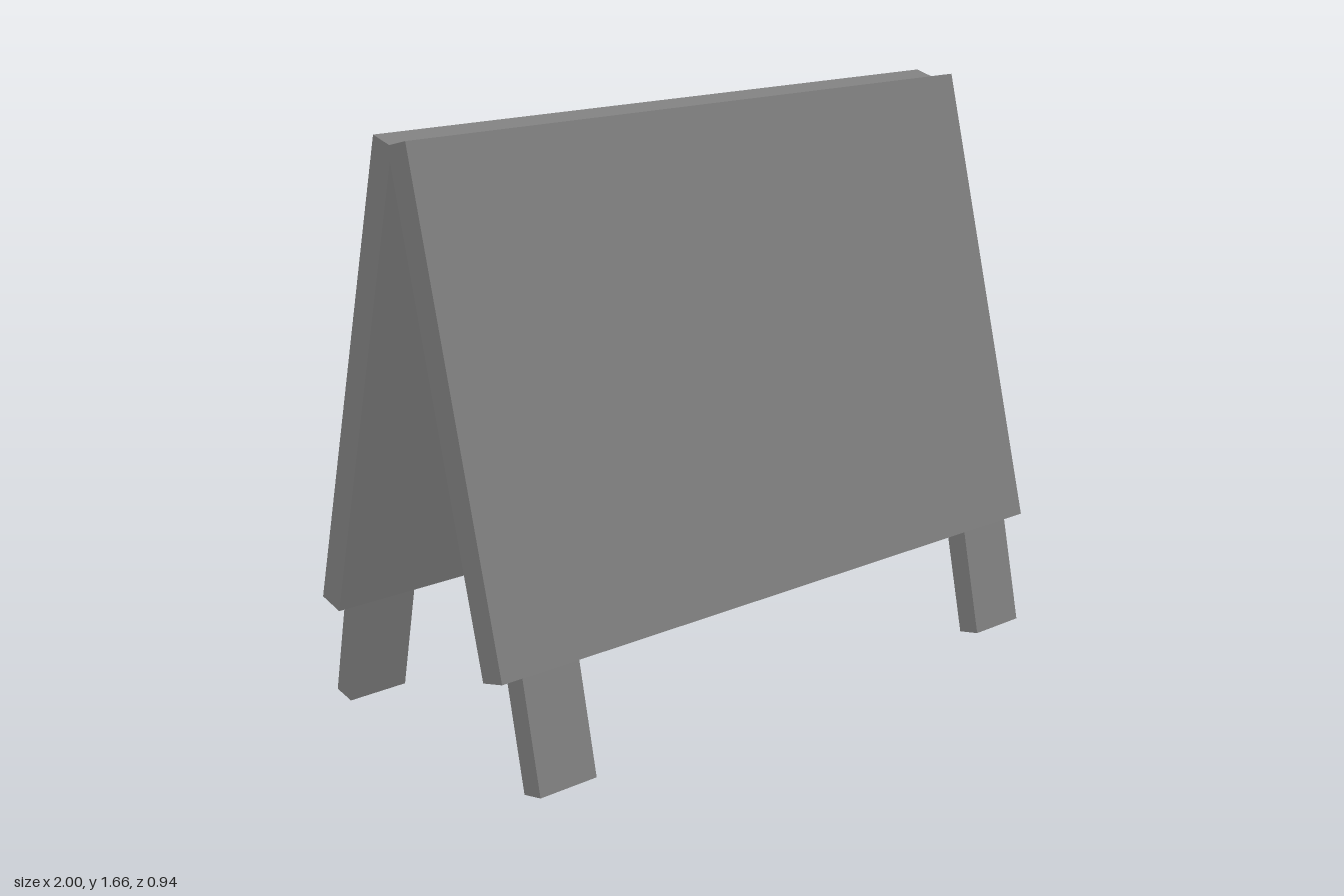
import * as THREE from 'three';

const material = new THREE.MeshStandardMaterial({
  color: 0x808080, flatShading: true, side: THREE.DoubleSide,
});

// Mesh leaning towards the ridge by the given angle in degrees
function leaningPart(name, geometry, position, degrees) {
  const mesh = new THREE.Mesh(geometry, material);
  mesh.name = name;
  mesh.position.set(...position);
  mesh.rotation.x = -THREE.MathUtils.degToRad(degrees);
  return mesh;
}

// Four-sided tube without end caps
function openBox(width, height, depth) {
  return new THREE.CylinderGeometry(Math.SQRT1_2, Math.SQRT1_2, 1, 4, 1, true)
    .rotateY(Math.PI / 4)
    .scale(width, height, depth);
}

// One half of the folding board: a panel on two slightly steeper hollow legs
function createHalf(name) {
  const half = new THREE.Group();
  half.name = name;
  const panel = new THREE.BoxGeometry(2, 1.371, 0.083);
  half.add(leaningPart('panel', panel, [0, 0.981, 0.202], 14.5));

  const legLength = 0.318, legTilt = 12;
  const a = THREE.MathUtils.degToRad(legTilt);
  const y = 0.007 + Math.cos(a) * legLength / 2;
  const z = 0.434 - Math.sin(a) * legLength / 2;
  const leg = openBox(0.184, legLength, 0.069);
  for (const [legName, x] of [['rightLeg', -0.836], ['leftLeg', 0.842]]) {
    half.add(leaningPart(legName, leg, [x, y, z], legTilt));
  }
  return half;
}

export function createModel() {
  const model = new THREE.Group();
  model.name = 'foldingSignBoard';

  // The back half is the front half turned around the vertical axis
  const front = createHalf('frontHalf');
  const back = createHalf('backHalf');
  back.rotation.y = Math.PI;
  model.add(front, back);
  return model;
}
